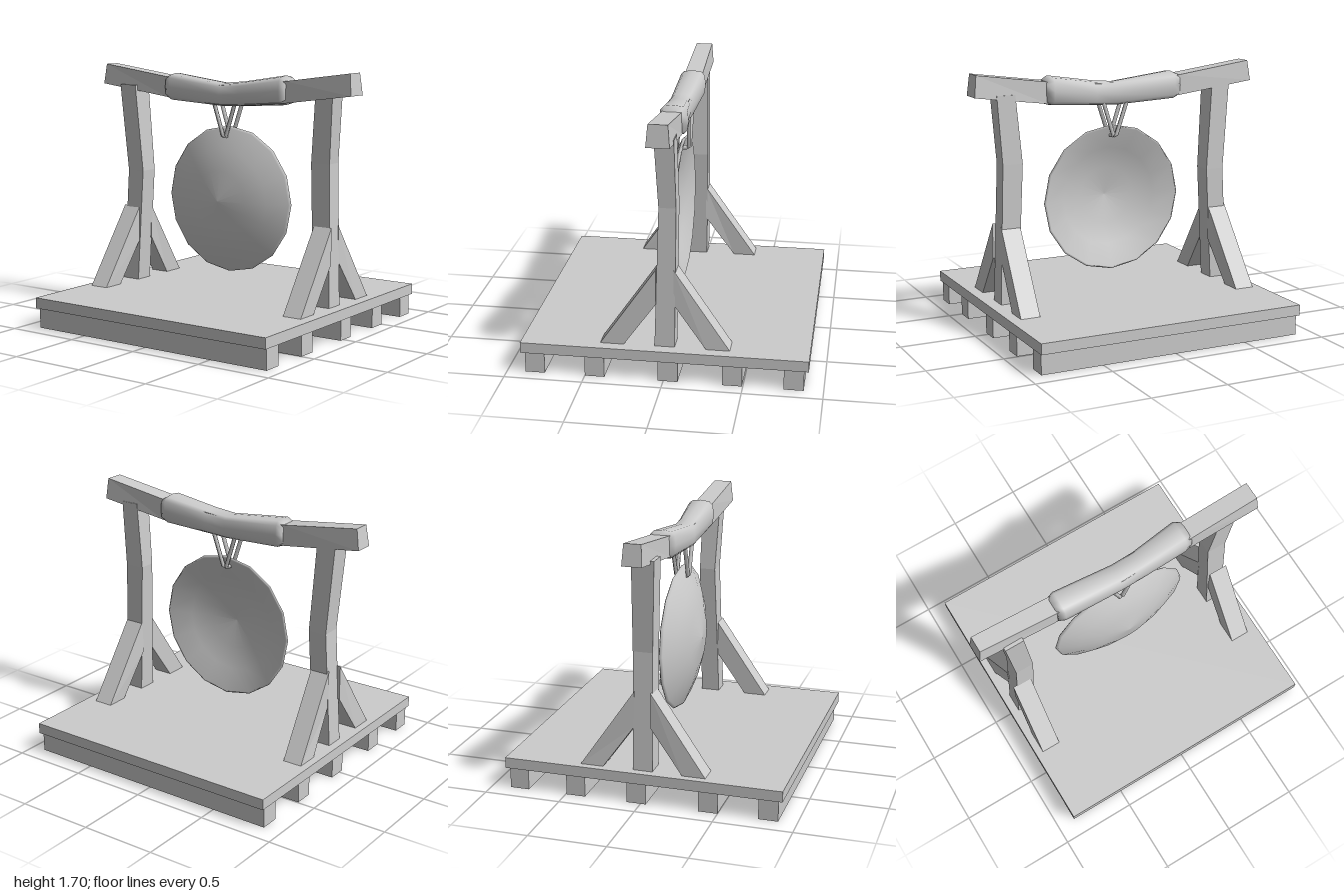
import * as THREE from 'three';
import { mergeVertices } from 'three/addons/utils/BufferGeometryUtils.js';

// Closed solid through a list of rings, each counter-clockwise about the direction of travel
function loft(rings, smooth = false) {
  const pos = [];
  const tri = (...pts) => pts.forEach((p) => pos.push(...p));
  const n = rings[0].length;
  for (let r = 0; r < rings.length - 1; r++) {
    const a = rings[r], b = rings[r + 1];
    for (let i = 0; i < n; i++) {
      const j = (i + 1) % n;
      tri(a[i], a[j], b[j]);
      tri(a[i], b[j], b[i]);
    }
  }
  const first = rings[0], last = rings[rings.length - 1];
  for (let i = 1; i < n - 1; i++) {
    tri(first[0], first[i + 1], first[i]);
    tri(last[0], last[i], last[i + 1]);
  }
  let geo = new THREE.BufferGeometry();
  geo.setAttribute('position', new THREE.Float32BufferAttribute(pos, 3));
  if (smooth) geo = mergeVertices(geo);
  geo.computeVertexNormals();
  return geo;
}

export function createModel() {
  const model = new THREE.Group();
  const grey = new THREE.MeshStandardMaterial({ color: 0xcccccc });
  const add = (name, geo) => {
    const mesh = new THREE.Mesh(geo, grey);
    mesh.name = name;
    model.add(mesh);
    return mesh;
  };

  // Platform and the runners below it
  add('platform', new THREE.BoxGeometry(1.815, 0.07, 1.81)).position.set(-0.002, 0.17, 0.015);
  for (const x of [-0.82, -0.437, 0.028, 0.432, 0.815]) {
    add('runner', new THREE.BoxGeometry(0.125, 0.135, 1.79)).position.set(x, 0.0675, 0.015);
  }

  // Bent posts, rows of y, x from, x to, z from, z to
  const post = (rows) => loft(rows.map(([y, x0, x1, z0, z1]) =>
    [[x0, y, z0], [x0, y, z1], [x1, y, z1], [x1, y, z0]]));
  add('frontPost', post([
    [0.2, -0.065, 0.062, 0.72, 0.84],
    [1.12, -0.038, 0.07, 0.68, 0.815],
    [1.56, -0.06, 0.062, 0.72, 0.845],
  ]));
  add('rearPost', post([
    [0.2, -0.065, 0.062, -0.835, -0.71],
    [0.97, -0.058, 0.07, -0.79, -0.665],
    [1.56, -0.085, 0.06, -0.835, -0.705],
  ]));

  // Slanting braces: z range at the post, then at the foot
  const brace = (side, a0, a1, b0, b1) => {
    const ring = (xLow, yLow, xHigh, yHigh, z0, z1) => {
      const r = [[side * xLow, yLow, z0], [side * xHigh, yHigh, z0],
        [side * xHigh, yHigh, z1], [side * xLow, yLow, z1]];
      return side > 0 ? r : r.reverse();
    };
    add('brace', loft([
      ring(0.055, 0.49, 0.055, 0.72, a0, a1),
      ring(0.26, 0.204, 0.41, 0.204, b0, b1),
    ]));
  };
  brace(1, 0.7, 0.83, 0.715, 0.845);
  brace(-1, 0.715, 0.845, 0.715, 0.845);
  brace(1, -0.815, -0.685, -0.84, -0.71);
  brace(-1, -0.83, -0.7, -0.84, -0.71);

  // Sagging crossbeam with slanted ends: z low, z high, y low, y high, half widths, x centre
  const beam = [
    [-1.0, -0.98, 1.56, 1.695, 0.063, 0.055, 0],
    [-0.45, -0.45, 1.49, 1.625, 0.062, 0.06, 0],
    [0, 0, 1.455, 1.585, 0.06, 0.06, -0.015],
    [0.5, 0.5, 1.49, 1.63, 0.065, 0.062, -0.005],
    [0.99, 0.975, 1.555, 1.695, 0.072, 0.06, -0.012],
  ];
  add('crossbeam', loft(beam.map(([zl, zh, yl, yh, wl, wh, x]) =>
    [[x - wl, yl, zl], [x + wl, yl, zl], [x + wh, yh, zh], [x - wh, yh, zh]])));

  // Rounded wrapping around the middle of the beam
  const sleeve = [
    [-0.455, 1.485, 1.63, -0.075, 0.07],
    [-0.41, 1.465, 1.65, -0.09, 0.085],
    [0, 1.445, 1.6, -0.092, 0.065],
    [0.15, 1.452, 1.613, -0.092, 0.065],
    [0.46, 1.472, 1.662, -0.09, 0.095],
    [0.505, 1.485, 1.635, -0.075, 0.075],
  ];
  const soft = (v) => Math.sign(v) * Math.abs(v) ** 0.6;
  add('wrapping', loft(sleeve.map(([z, y0, y1, x0, x1]) =>
    Array.from({ length: 12 }, (_, i) => {
      const a = (i / 12) * Math.PI * 2;
      return [(x0 + x1) / 2 + soft(Math.cos(a)) * (x1 - x0) / 2,
        (y0 + y1) / 2 + soft(Math.sin(a)) * (y1 - y0) / 2, z];
    })), true));

  // Dished gong, hollow towards +x
  const profile = [[0, -0.14], [0.2, -0.113], [0.34, -0.07], [0.475, -0.012], [0.488, 0.004],
    [0.475, 0.012], [0.33, -0.045], [0.19, -0.09], [0, -0.115]];
  const gong = new THREE.LatheGeometry(profile.map(([r, x]) => new THREE.Vector2(r, x)), 16);
  gong.rotateZ(-Math.PI / 2);
  add('gong', gong).position.set(0, 0.828, 0.02);

  // Cords from the beam through the top of the gong
  for (const [top, low] of [[0.1, 0.022], [-0.075, 0.004]]) {
    const pts = [[0.04, 1.48, top], [0.035, 1.245, low], [-0.045, 1.245, low], [-0.045, 1.48, top]]
      .map((p) => new THREE.Vector3(...p));
    const path = new THREE.CurvePath();
    for (let i = 0; i < 3; i++) path.add(new THREE.LineCurve3(pts[i], pts[i + 1]));
    add('cord', new THREE.TubeGeometry(path, 24, 0.014, 5));
  }
  return model;
}
